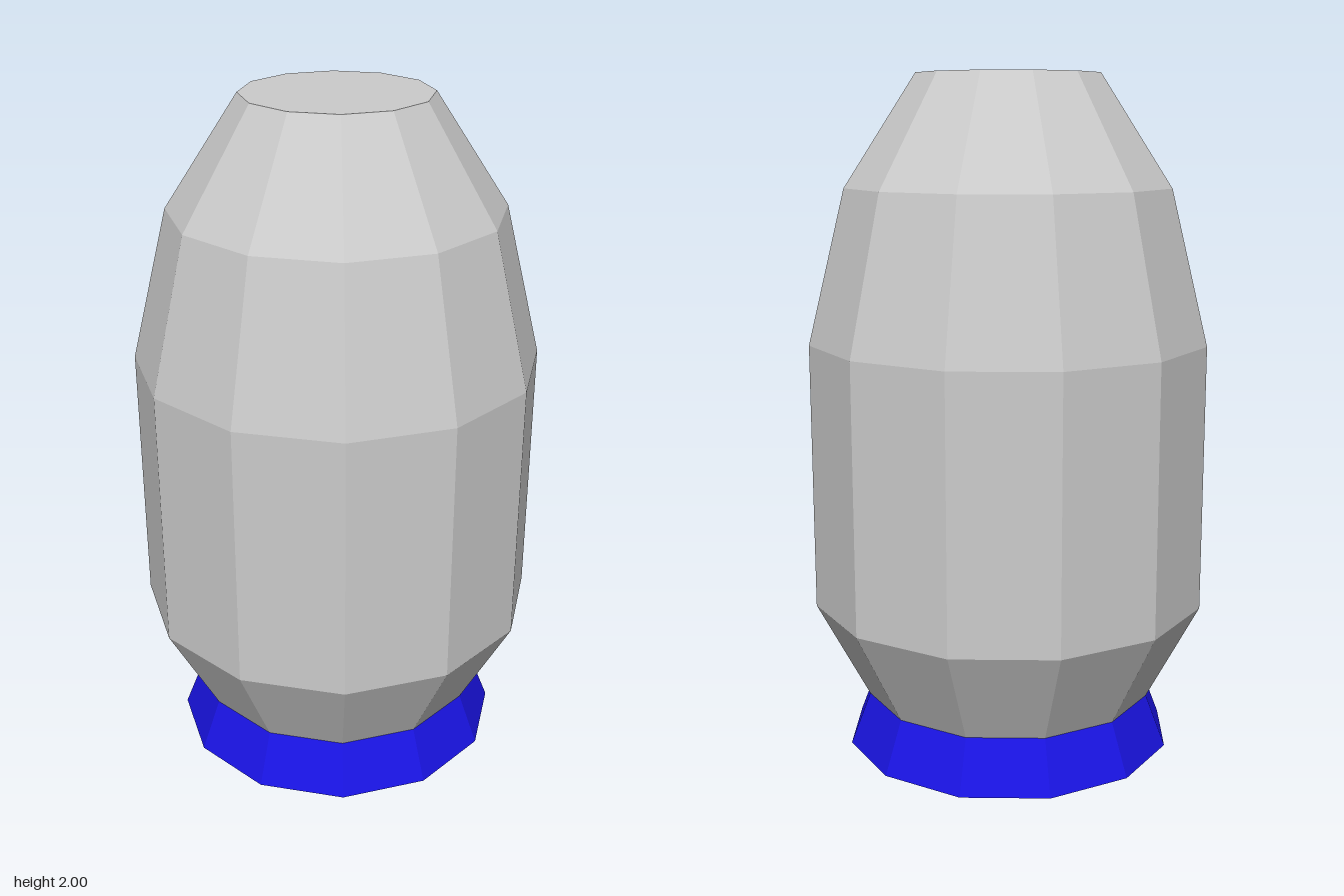
import * as THREE from 'three';

const SIDES = 12;

// Turned part from [radius, height] points, listed from bottom to top
function turned(name, profile, color) {
  const points = profile.map(([r, y]) => new THREE.Vector2(r, y));
  const material = new THREE.MeshStandardMaterial({ color, flatShading: true });
  const mesh = new THREE.Mesh(new THREE.LatheGeometry(points, SIDES), material);
  mesh.name = name;
  return mesh;
}

// Flat end disc, facing up or down
function disc(name, radius, y, up) {
  const geometry = new THREE.CircleGeometry(radius, SIDES);
  geometry.rotateX(up ? -Math.PI / 2 : Math.PI / 2);
  const material = new THREE.MeshStandardMaterial({ color: 0xcccccc, flatShading: true });
  const mesh = new THREE.Mesh(geometry, material);
  mesh.position.y = y;
  mesh.name = name;
  return mesh;
}

export function createModel() {
  const model = new THREE.Group();
  model.name = 'shell';

  // Faceted body, narrowing to a blunt nose
  model.add(turned('body', [
    [0.435, 0.155], [0.59, 0.45], [0.59, 1.235], [0.48, 1.68], [0.27, 2],
  ], 0xcccccc));

  // Flat nose and underside
  model.add(disc('noseCap', 0.27, 2, true));
  model.add(disc('underside', 0.495, 0, false));

  // Flared blue skirt at the foot
  model.add(turned('skirt', [[0.495, 0], [0.435, 0.155]], 0x1a14e6));

  return model;
}
